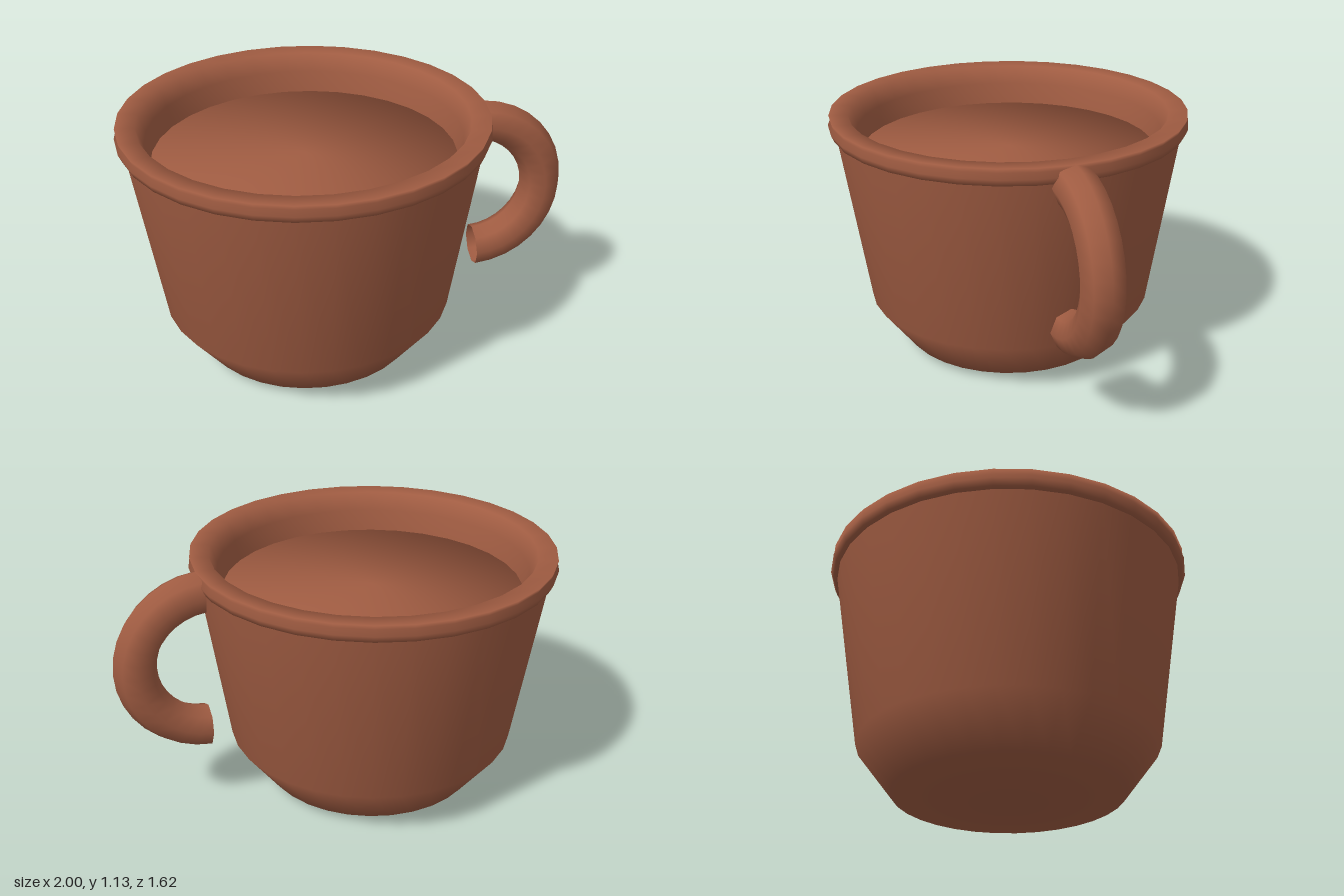
import * as THREE from 'three';

const CUP_X = -0.19; // cup axis, offset to leave room for the handle
const SIDES = 32;

export function createModel() {
  const group = new THREE.Group();
  const clay = new THREE.MeshStandardMaterial({ color: 0xa05c42, side: THREE.DoubleSide });
  clay.name = 'terracotta brown';

  // Turned part around the cup axis, from [radius, height] pairs
  const turned = (name, profile) => {
    const points = profile.map(([r, y]) => new THREE.Vector2(r, y));
    const geometry = new THREE.LatheGeometry(points, SIDES);
    geometry.normalizeNormals();
    const mesh = new THREE.Mesh(geometry, clay);
    mesh.name = name;
    mesh.position.x = CUP_X;
    group.add(mesh);
  };

  // Outer wall with a chamfered foot
  turned('body', [[0, 0], [0.16, 0.002], [0.5, 0.035], [0.655, 0.24], [0.78, 1.05]]);

  // Lip: small outer bead, flat top, inner wall sloping down to the filling
  turned('rim', [
    [0.775, 1.045], [0.797, 1.05], [0.81, 1.08], [0.797, 1.105],
    [0.805, 1.125], [0.72, 1.122], [0.69, 1.04], [0.67, 0.94],
  ]);

  // Filling with a flat top
  turned('filling', [[0.57, 0.25], [0.67, 0.943], [0, 0.943]]);

  // Half-ring handle on the left side
  const arc = THREE.MathUtils.degToRad(174);
  const handle = new THREE.Mesh(new THREE.TorusGeometry(0.322, 0.095, 8, 16, arc), clay);
  handle.name = 'handle';
  handle.rotation.z = -arc / 2;
  handle.position.set(0.58, 0.71, 0);
  group.add(handle);

  return group;
}
